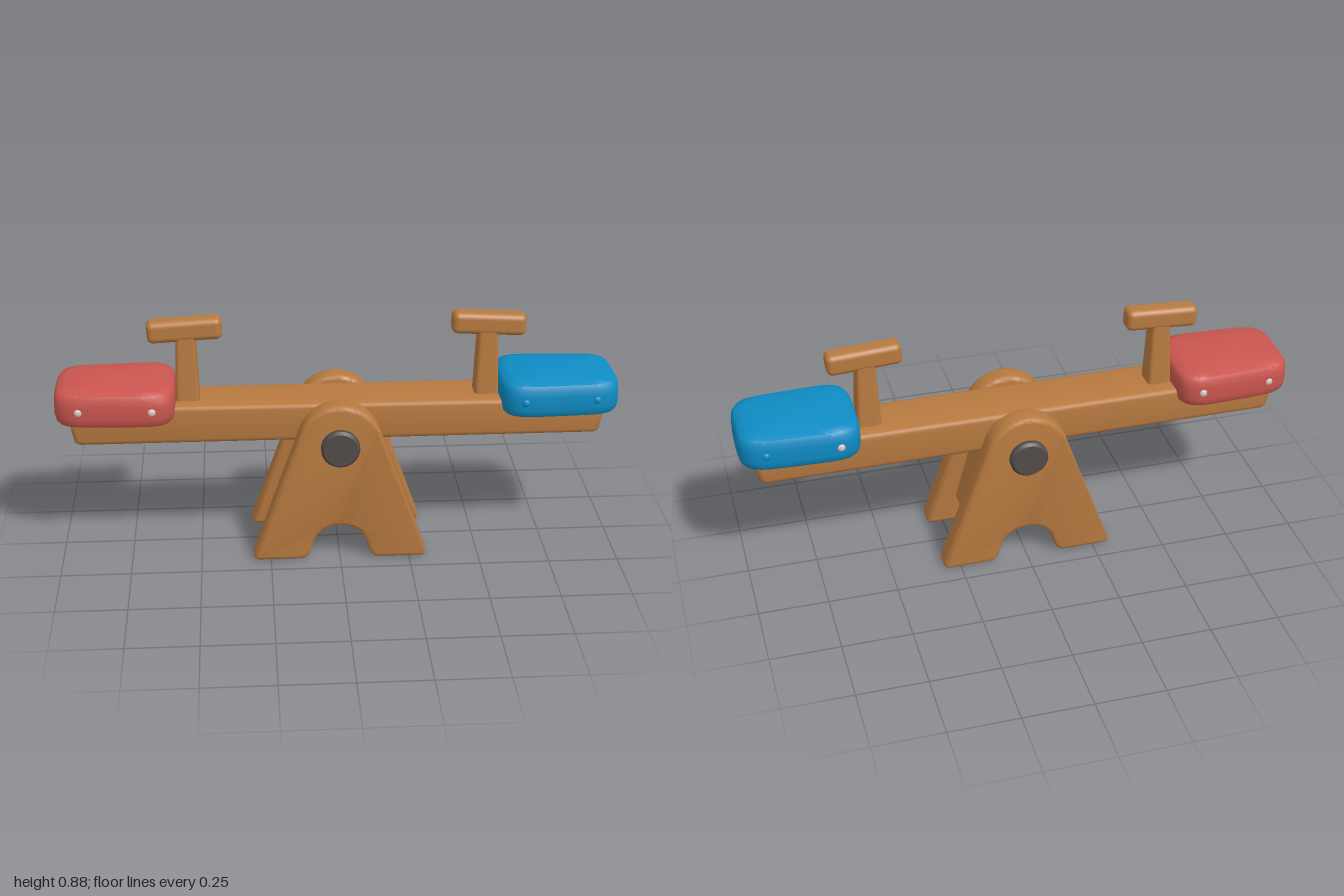
import * as THREE from 'three';
import { toCreasedNormals, mergeVertices } from 'three/addons/utils/BufferGeometryUtils.js';
import { RoundedBoxGeometry } from 'three/addons/geometries/RoundedBoxGeometry.js';

const material = (name, color) => {
  const m = new THREE.MeshStandardMaterial({ color });
  m.name = name;
  return m;
};

// Extrudes an outline along z between two depths, with rounded edges
function slab(shape, z0, z1, bevel) {
  const geo = new THREE.ExtrudeGeometry(shape, {
    depth: z1 - z0 - 2 * bevel, bevelEnabled: true, bevelThickness: bevel,
    bevelSize: bevel, bevelOffset: -bevel, bevelSegments: 3, curveSegments: 16,
  });
  geo.translate(0, 0, z0 + bevel);
  return toCreasedNormals(geo, 0.7);
}

// A-frame outline with round top and arched cut-out
function supportShape() {
  const s = new THREE.Shape();
  s.moveTo(-0.295, 0);
  s.lineTo(-0.135, 0);
  s.quadraticCurveTo(-0.11, 0.005, -0.1, 0.05);
  s.bezierCurveTo(-0.08, 0.16, 0.08, 0.16, 0.1, 0.05);
  s.quadraticCurveTo(0.11, 0.005, 0.135, 0);
  s.lineTo(0.295, 0);
  s.quadraticCurveTo(0.315, 0.003, 0.31, 0.022);
  s.lineTo(0.142, 0.492);
  s.absarc(0, 0.446, 0.15, 0.31, Math.PI - 0.31, false);
  s.lineTo(-0.31, 0.022);
  s.quadraticCurveTo(-0.315, 0.003, -0.295, 0);
  return s;
}

const polygon = (points) => new THREE.Shape(points.map(([x, y]) => new THREE.Vector2(x, y)));

// Cushion: a lathed profile pushed out to a rounded, slightly tapered rectangle
function seatGeometry() {
  const profile = [[0, 0.53], [0.94, 0.53], [0.98, 0.54], [1, 0.56], [1, 0.605], [0.985, 0.63],
    [0.94, 0.645], [0.8, 0.652], [0.45, 0.66], [0, 0.665]];
  const geo = new THREE.LatheGeometry(profile.map(([r, y]) => new THREE.Vector2(r, y)), 64);
  const p = geo.attributes.position;
  for (let i = 0; i < p.count; i++) {
    const x = p.getX(i), z = p.getZ(i), r = Math.hypot(x, z);
    if (r < 1e-6) continue;
    const n = 5;
    const k = 1 / Math.pow(Math.pow(Math.abs(x / r) / 0.2125, n) + Math.pow(Math.abs(z / r) / 0.16, n), 1 / n);
    const u = x * k / 0.2125;
    p.setXYZ(i, x * k, p.getY(i), z * k * (1.02 - 0.06 * u));
  }
  geo.deleteAttribute('uv');
  geo.deleteAttribute('normal');
  return toCreasedNormals(mergeVertices(geo, 1e-5), 0.8);
}

// Handle post, thinner towards the top
function postGeometry() {
  const geo = new RoundedBoxGeometry(0.088, 0.27, 0.09, 3, 0.016);
  const p = geo.attributes.position;
  for (let i = 0; i < p.count; i++) {
    const k = 0.88 - 0.9 * p.getY(i);
    p.setX(i, p.getX(i) * k);
    p.setZ(i, p.getZ(i) * k);
  }
  geo.computeVertexNormals();
  return geo;
}

export function createModel() {
  const wood = material('wood', 0xb87a40);
  const red = material('red seat', 0xcb564f);
  const blue = material('blue seat', 0x0f8cc4);
  const dark = material('dark metal', 0x524c49);
  const pale = material('pale studs', 0xd9c4bd);

  const model = new THREE.Group();
  model.name = 'seesaw';
  const add = (name, geo, mat, parent = model) => {
    const mesh = new THREE.Mesh(geo, mat);
    mesh.name = name;
    parent.add(mesh);
    return mesh;
  };

  // Plank with slanted ends
  add('plank', slab(polygon([[-0.915, 0.437], [0.915, 0.437], [0.935, 0.447], [0.958, 0.56], [0.95, 0.575],
    [-0.95, 0.575], [-0.958, 0.56], [-0.935, 0.447]]), -0.104, 0.104, 0.018), wood);

  // Two supports and their pivot caps
  const support = slab(supportShape(), 0.102, 0.184, 0.015);
  const cap = toCreasedNormals(new THREE.LatheGeometry([[0, 0], [0.069, 0], [0.069, 0.035],
    [0.06, 0.046], [0, 0.046]].map(([r, y]) => new THREE.Vector2(r, y)), 28), 0.5);
  cap.rotateX(Math.PI / 2);
  for (const [side, turn] of [['front', 0], ['back', Math.PI]]) {
    const frame = new THREE.Group();
    frame.name = side + 'Support';
    frame.rotation.y = turn;
    add('legs', support, wood, frame);
    add('pivotCap', cap, dark, frame).position.set(0, 0.443, 0.165);
    model.add(frame);
  }

  // Brace joining the supports, following the arch
  const brace = polygon([[-0.2, 0.115], [-0.09, 0.115], [-0.05, 0.138], [0.05, 0.138], [0.09, 0.115],
    [0.2, 0.115], [0.11, 0.45], [-0.11, 0.45]]);
  const braceGeo = new THREE.ExtrudeGeometry(brace, { depth: 0.24, bevelEnabled: false });
  braceGeo.translate(0, 0, -0.12);
  add('brace', braceGeo, wood);

  // Seats, studs and handles at both ends
  const seat = seatGeometry();
  const post = postGeometry();
  const bar = new RoundedBoxGeometry(0.264, 0.079, 0.074, 4, 0.022);
  const stud = new THREE.SphereGeometry(0.014, 12, 8);
  for (const [side, turn, mat, studMat] of [['left', 0, blue, blue], ['right', Math.PI, red, pale]]) {
    const end = new THREE.Group();
    end.name = side + 'End';
    end.rotation.y = turn;
    add('seat', seat, mat, end).position.x = 0.7875;
    add('handlePost', post, wood, end).position.set(0.533, 0.69, 0);
    const grip = add('handleBar', bar, wood, end);
    grip.position.set(0.537, 0.833, 0);
    grip.rotation.z = -0.055;
    for (const x of [0.655, 0.91]) {
      for (const z of [-1, 1]) {
        const m = mat === blue && z < 0 && x < 0.7 ? pale : studMat;
        const s = add('stud', stud, m, end);
        s.position.set(x, 0.587, z * (x < 0.7 ? 0.166 : 0.154));
        s.scale.z = 0.6;
      }
    }
    model.add(end);
  }
  return model;
}
